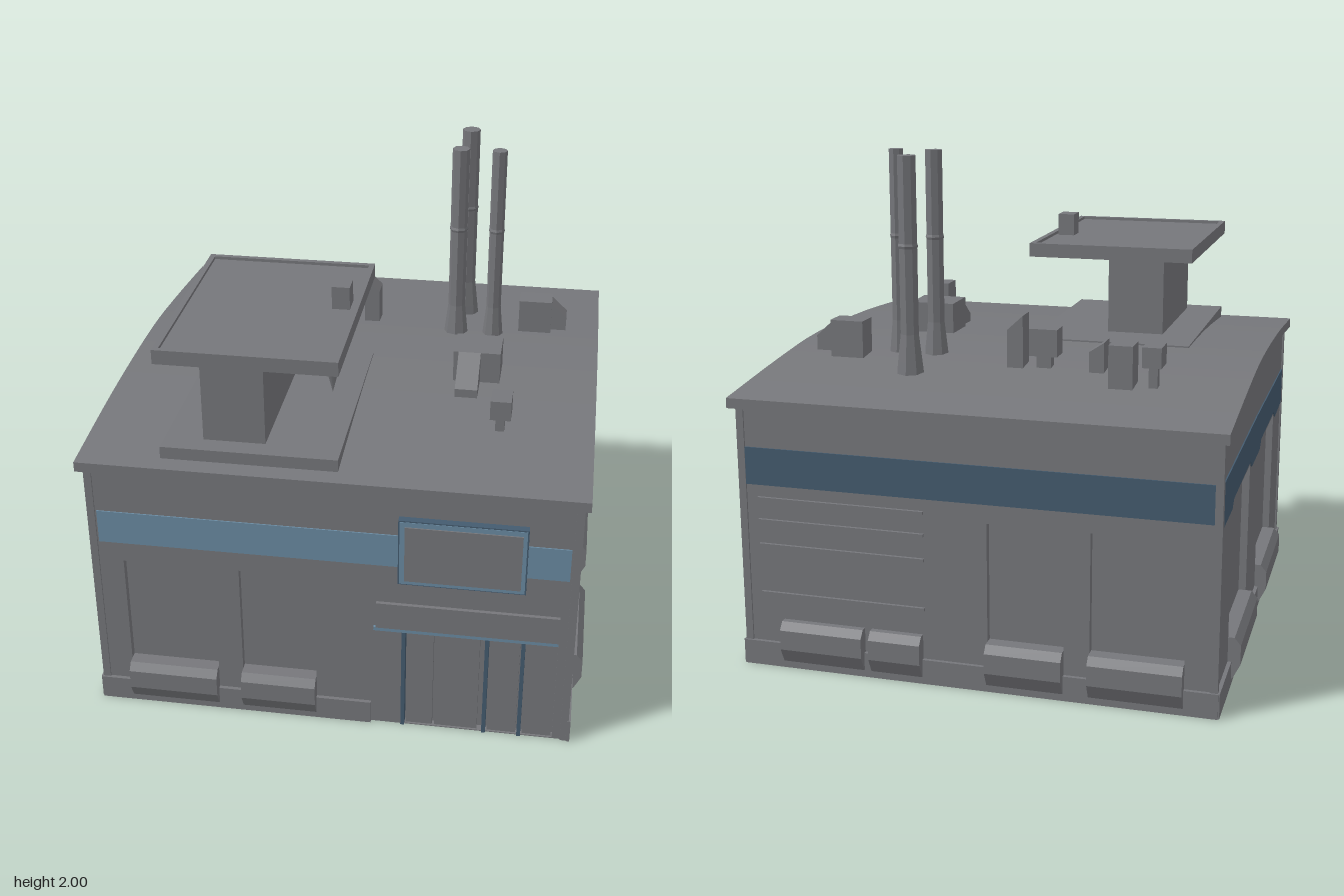
import * as THREE from 'three';

const paint = (name, color) => Object.assign(new THREE.MeshStandardMaterial({ color }), { name });
const grey = paint('concrete grey', 0x76777b);
const lightBlue = paint('light blue', 0x6a8ba2);
const darkBlue = paint('dark blue', 0x445b6f);

const HALF = 0.94, SKIN = 0.03, CORE = HALF - SKIN;

// gently arched roof height along z
const arch = new THREE.SplineCurve([
  [-0.98, 1.1], [-0.5, 1.152], [-0.1, 1.18], [0.45, 1.17], [0.98, 1.132],
].map(p => new THREE.Vector2(...p)));
const archPts = arch.getPoints(16);
function roofAt(z) {
  for (let i = 1; i < archPts.length; i++) {
    const a = archPts[i - 1], b = archPts[i];
    if (z <= b.x) return a.y + (b.y - a.y) * (z - a.x) / (b.x - a.x);
  }
  return archPts[archPts.length - 1].y;
}

function add(parent, name, geo, mat = grey) {
  const m = new THREE.Mesh(geo, mat);
  m.name = name;
  parent.add(m);
  return m;
}

// box given by its limits; drop lowers the top on the +x (or +z) side
function box(parent, name, x0, x1, y0, y1, z0, z1, mat = grey, drop = 0, axis = 'x') {
  const g = new THREE.BoxGeometry(x1 - x0, y1 - y0, z1 - z0);
  const p = g.attributes.position;
  for (let i = 0; drop && i < p.count; i++) {
    const side = axis === 'x' ? p.getX(i) : p.getZ(i);
    if (p.getY(i) > 0 && side > 0) p.setY(i, p.getY(i) - drop);
  }
  g.computeVertexNormals();
  g.translate((x0 + x1) / 2, (y0 + y1) / 2, (z0 + z1) / 2);
  return add(parent, name, g, mat);
}

const shapeOf = pts => new THREE.Shape(pts.map(([x, y]) => new THREE.Vector2(x, y)));
const rect = (x0, x1, y0, y1) => [[x0, y0], [x1, y0], [x1, y1], [x0, y1]];
const extrude = (shape, depth) => new THREE.ExtrudeGeometry(shape, { depth, bevelEnabled: false });

// chamfered ledge along a wall, from u0 to u1
function sill(wall, u0, u1) {
  const g = extrude(shapeOf([[0, 0.03], [0.02, 0.03], [0.05, 0.09], [0.05, 0.17], [0.025, 0.2], [-0.03, 0.2], [-0.03, 0.03]]), u1 - u0);
  g.rotateY(-Math.PI / 2);
  g.scale(1, 1, 1);
  g.translate(u1, 0, HALF);
  add(wall, 'windowSill', g);
}

// wall skin with recessed openings; local x runs along the wall, local z outward
function makeWall(root, name, angle, top, openings) {
  const wall = new THREE.Group();
  wall.name = name;
  wall.rotation.y = angle;
  root.add(wall);
  const pts = [[-HALF, 0], [HALF, 0]];
  for (let i = 0; i <= 12; i++) {
    const u = HALF - 2 * HALF * i / 12;
    pts.push([u, top(u)]);
  }
  const s = shapeOf(pts);
  for (const o of openings) s.holes.push(new THREE.Path(rect(...o).map(q => new THREE.Vector2(...q))));
  const g = extrude(s, SKIN);
  g.translate(0, 0, CORE);
  add(wall, name + 'Skin', g);
  return wall;
}

function band(wall, pts, mat) {
  const g = extrude(shapeOf(pts), 0.005);
  g.translate(0, 0, HALF);
  add(wall, 'paintedBand', g, mat);
}

export function createModel() {
  const root = new THREE.Group();
  root.name = 'utilityBuilding';

  // roof slab and inner core share the arch
  const alongX = (pts, w) => {
    const g = extrude(shapeOf(pts), w);
    g.rotateY(-Math.PI / 2);
    g.translate(w / 2, 0, 0);
    return g;
  };
  const slab = archPts.map(p => [p.x, p.y]);
  add(root, 'roof', alongX([...slab.map(([z, y]) => [z, y - 0.04]), ...slab.slice().reverse()], 1.935));
  const coreTop = [];
  for (let i = 0; i <= 12; i++) {
    const z = CORE - 2 * CORE * i / 12;
    coreTop.push([z, roofAt(z) - 0.02]);
  }
  add(root, 'core', alongX([[-CORE, 0], [CORE, 0], ...coreTop], 2 * CORE));

  // front and back walls
  const winX = [[-0.82, -0.46], [-0.36, -0.06]];
  const front = makeWall(root, 'frontWall', 0, () => 1.11, [
    ...winX.map(([a, b]) => [a, b, 0.19, 0.675]), [0.28, 0.885, 0.004, 0.47]]);
  const back = makeWall(root, 'backWall', Math.PI, () => 1.08,
    winX.map(([a, b]) => [-b, -a, 0.19, 0.675]));
  band(front, rect(-0.91, 0.91, 0.76, 0.9), lightBlue);
  band(back, rect(-0.93, 0.93, 0.75, 0.9), darkBlue);
  for (const [a, b] of winX) {
    sill(front, a, b);
    sill(back, -b, -a);
  }
  box(front, 'plinth', -0.95, 0.16, 0, 0.1, HALF, 0.955);
  box(back, 'plinth', -0.95, 0.95, 0, 0.1, HALF, 0.955);

  // shuttered bay on the back
  sill(back, -0.78, -0.44);
  sill(back, -0.41, -0.2);
  for (const y of [0.3, 0.5, 0.6, 0.69]) box(back, 'shutterRail', -0.87, -0.19, y, y + 0.012, HALF, 0.952);

  // side walls
  for (const s of [1, -1]) {
    const side = makeWall(root, s > 0 ? 'leftWall' : 'rightWall', s * Math.PI / 2, u => roofAt(-s * u) - 0.02,
      [[-0.655, -0.155, 0.19, 0.745], [0.15, 0.65, 0.19, 0.745]]);
    band(side, [[-0.93, 0.73], [-0.69, 0.73], [-0.65, 0.76], [-0.17, 0.765], [-0.13, 0.73], [0.12, 0.73],
      [0.17, 0.765], [0.63, 0.765], [0.68, 0.73], [0.93, 0.74], [0.93, 0.9], [0, 0.91], [-0.93, 0.9]], darkBlue);
    sill(side, -0.655, -0.155);
    sill(side, 0.15, 0.65);
    box(side, 'plinth', -0.95, 0.95, 0, 0.1, HALF, 0.955);
  }

  // corner posts
  for (const x of [-1, 1]) for (const z of [-1, 1]) {
    const p = box(root, 'cornerPost', -0.015, 0.015, 0, 1.09, -0.015, 0.015);
    p.position.set(x * 0.932, 0, z * 0.932);
  }

  // entrance: header, door leaves and blue trim
  box(front, 'entranceHeader', 0.18, 0.885, 0.475, 0.59, HALF, 0.955);
  box(front, 'entranceTrim', 0.17, 0.885, 0.46, 0.475, 0.93, 0.953, lightBlue);
  for (const x of [0.28, 0.605, 0.745]) box(front, 'doorJamb', x, x + 0.015, 0, 0.462, CORE, 0.948, darkBlue);
  for (const [a, b] of [[0.3, 0.405], [0.415, 0.585], [0.625, 0.74], [0.765, 0.88]]) {
    box(front, 'doorLeaf', a, b, 0, 0.455, CORE, 0.932);
  }

  // framed sign board
  box(front, 'signFrame', 0.265, 0.75, 0.7, 0.985, HALF, 0.97, darkBlue);
  box(front, 'signPanel', 0.29, 0.73, 0.72, 0.96, 0.965, 0.977);
  box(front, 'signEdge', 0.27, 0.745, 0.704, 0.98, 0.968, 0.972, lightBlue);

  // roof canopy on its pier, with a low kerb below
  box(root, 'kerb', -0.65, 0.03, 1.13, 1.187, 0.0, 0.91);
  box(root, 'canopyPier', -0.5, -0.26, 1.15, 1.55, 0.21, 0.83);
  box(root, 'canopy', -0.655, 0.035, 1.54, 1.58, 0, 0.91);
  for (const [a, b, c, d] of [[-0.655, 0.035, 0, 0.022], [-0.655, 0.035, 0.888, 0.91], [-0.655, -0.633, 0, 0.91], [0.013, 0.035, 0, 0.91]]) {
    box(root, 'canopyRim', a, b, 1.535, 1.592, c, d);
  }
  box(root, 'canopyUnit', -0.07, 0, 1.57, 1.672, 0.35, 0.435);
  const bracket = new THREE.ConeGeometry(0.02, 0.08, 4);
  bracket.rotateX(Math.PI);
  bracket.translate(0.01, 1.5, 0.885);
  add(root, 'canopyBracket', bracket);

  // chimneys with flared feet and a joint ring
  for (const [x, z, r] of [[0.37, -0.56, 0.038], [0.35, -0.3, 0.036], [0.51, -0.3, 0.031]]) {
    const profile = [[r * 1.5, 1.14], [r * 1.35, 1.19], [r, 1.3], [r, 1.64], [r * 1.1, 1.65], [r, 1.66], [r, 2], [0, 2]];
    const g = new THREE.LatheGeometry(profile.map(p => new THREE.Vector2(...p)), 8).toNonIndexed();
    g.computeVertexNormals();
    g.translate(x, 0, z);
    add(root, 'chimney', g);
  }

  // rooftop units
  box(root, 'raisedVent', -0.65, -0.575, 1.23, 1.31, -0.61, -0.505);
  box(root, 'ventStem', -0.63, -0.595, 1.13, 1.24, -0.575, -0.54);
  box(root, 'ventBox', -0.54, -0.445, 1.13, 1.31, -0.61, -0.505);
  box(root, 'smallVent', -0.39, -0.33, 1.14, 1.28, -0.44, -0.345, grey, 0.04);
  box(root, 'fanUnit', -0.2, -0.085, 1.21, 1.32, -0.44, -0.35);
  box(root, 'fanBase', -0.17, -0.11, 1.14, 1.22, -0.42, -0.37);
  box(root, 'cowl', -0.06, 0.005, 1.14, 1.37, -0.44, -0.35, grey, 0.06);
  box(root, 'coolingUnit', 0.62, 0.76, 1.14, 1.31, -0.44, -0.34);
  box(root, 'coolingSpout', 0.76, 0.825, 1.18, 1.3, -0.43, -0.35, grey, 0.06);
  box(root, 'airHandler', 0.385, 0.575, 1.15, 1.31, 0.02, 0.19);
  box(root, 'airDuct', 0.405, 0.495, 1.15, 1.31, 0.19, 0.325, grey, 0.1, 'z');
  box(root, 'raisedVent', 0.565, 0.645, 1.23, 1.31, 0.49, 0.595);
  box(root, 'ventStem', 0.585, 0.62, 1.14, 1.24, 0.52, 0.56);

  return root;
}
